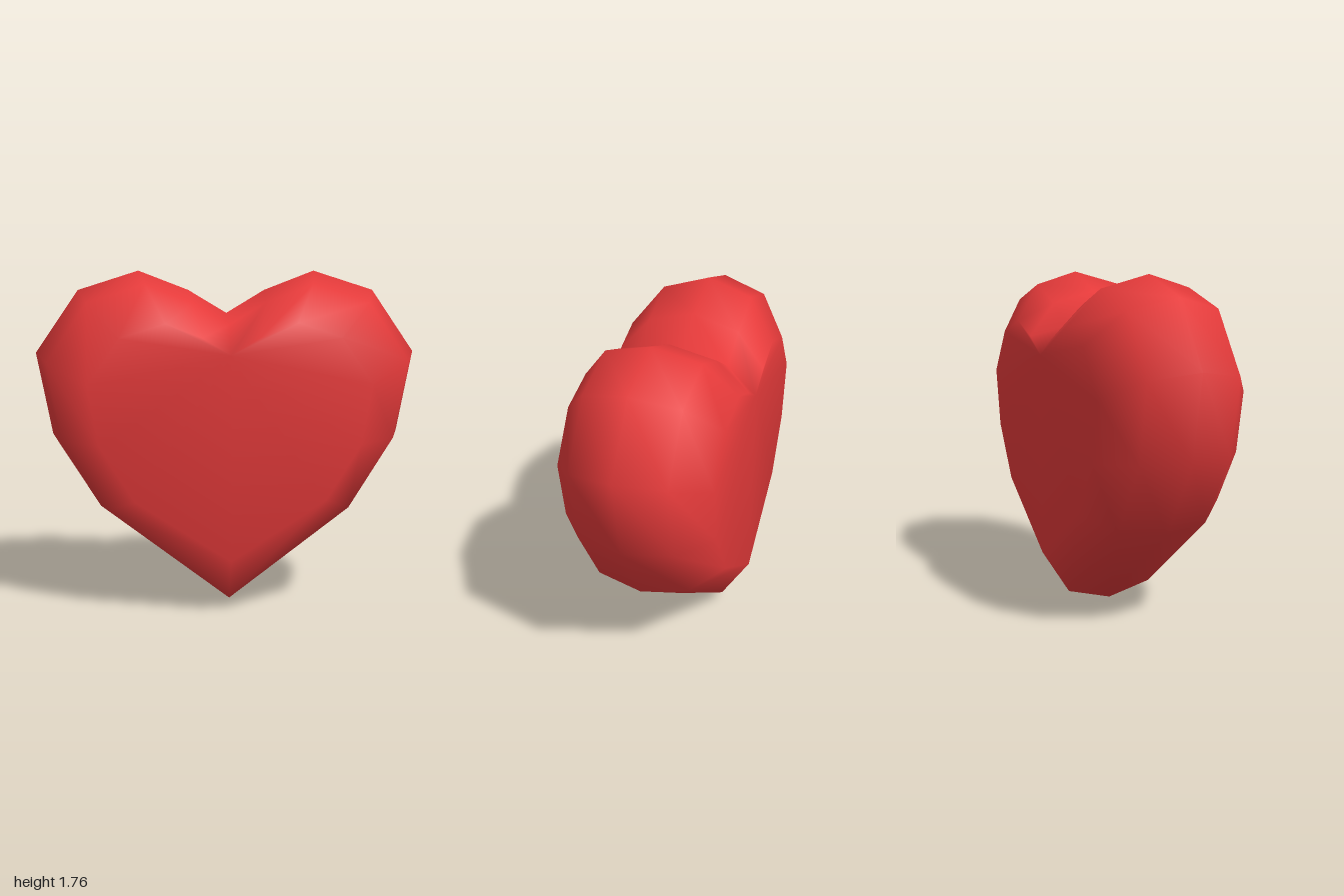
import * as THREE from 'three';

// Right half of the heart outline, from the bottom tip up to the notch
const HALF = [
  [0, 0], [0.675, 0.515], [0.92, 0.91], [1, 1.34],
  [0.775, 1.665], [0.46, 1.765], [0.2, 1.665], [0, 1.545],
];
const NOTCH = HALF.length - 1;
const CENTRE_Y = 0.86;

// Outline rings from back to front: depth, scale, extra lift of the tip
const RINGS = [
  [-0.39, 0.715, 0.055], [-0.24, 0.925, 0], [0, 1, 0],
  [0.24, 0.925, 0], [0.39, 0.715, 0.055],
];

function heartGeometry() {
  const mirrored = HALF.slice(1, -1).reverse().map(([x, y]) => [-x, y]);
  const outline = [...HALF, ...mirrored];
  const n = outline.length;
  const positions = [];
  const index = [];

  for (const [z, s, lift] of RINGS) {
    outline.forEach(([x, y], i) => {
      positions.push(x * s, CENTRE_Y + (y - CENTRE_Y) * s + (i === 0 ? lift : 0), z);
    });
  }

  // Rounded rim between neighbouring rings
  for (let r = 0; r < RINGS.length - 1; r++) {
    for (let i = 0; i < n; i++) {
      const j = (i + 1) % n;
      const a = r * n + i, b = r * n + j;
      index.push(a, b, b + n, a, b + n, a + n);
    }
  }

  // Flat front and back, fanned from the notch
  const front = (RINGS.length - 1) * n;
  for (let k = 1; k < n - 1; k++) {
    const i = (NOTCH + k) % n, j = (NOTCH + k + 1) % n;
    index.push(front + NOTCH, front + i, front + j);
    index.push(NOTCH, j, i);
  }

  const geometry = new THREE.BufferGeometry();
  geometry.setAttribute('position', new THREE.Float32BufferAttribute(positions, 3));
  geometry.setIndex(index);
  geometry.computeVertexNormals();
  return geometry;
}

export function createModel() {
  const red = new THREE.MeshStandardMaterial({ color: 0xe53a3a });
  red.name = 'heart red';

  const heart = new THREE.Mesh(heartGeometry(), red);
  heart.name = 'heart';

  const model = new THREE.Group();
  model.name = 'heartModel';
  model.add(heart);
  return model;
}
